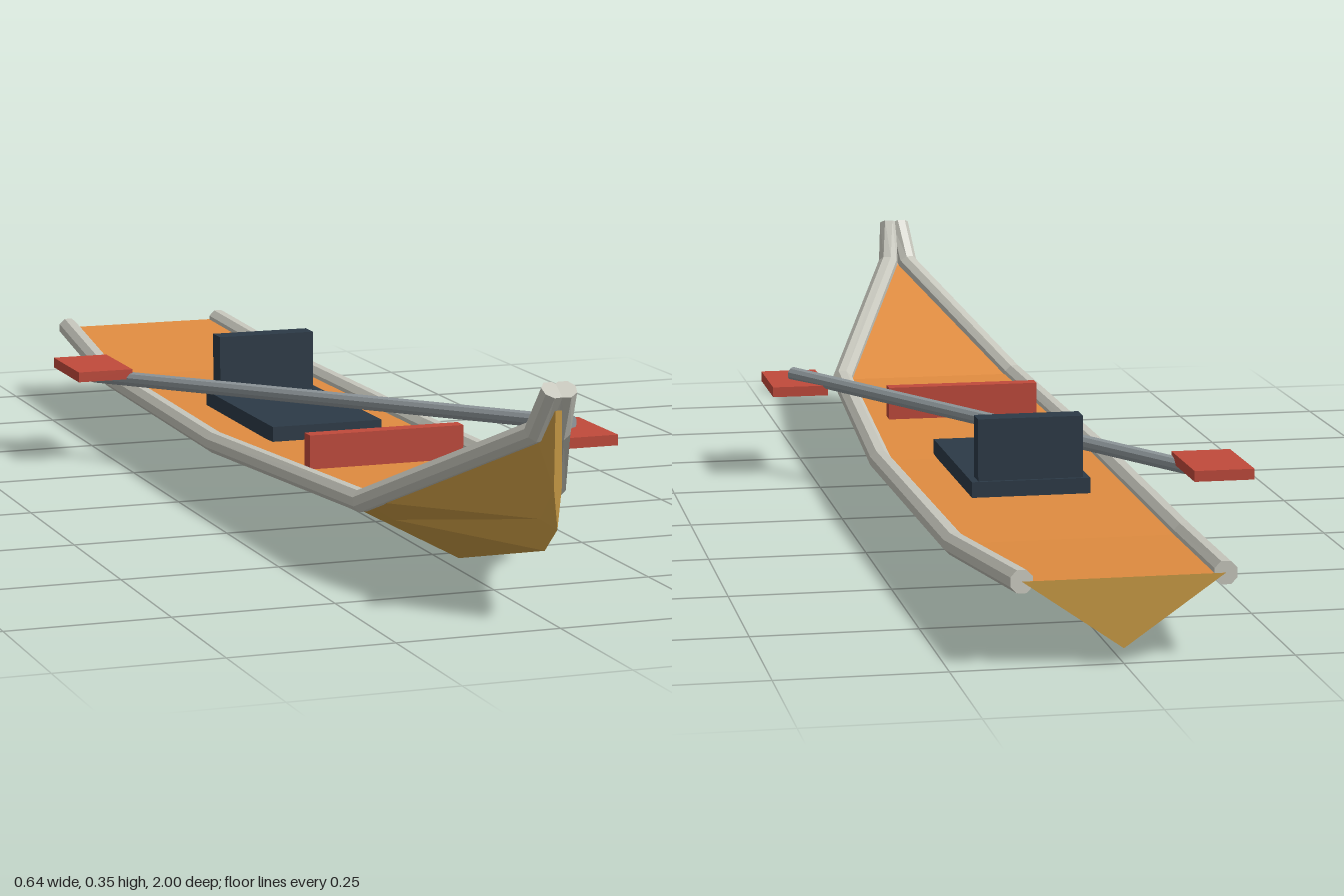
import * as THREE from 'three';

const mat = (name, color) => {
  const m = new THREE.MeshStandardMaterial({ color });
  m.name = name;
  m.flatShading = true;
  return m;
};

// Flat-shaded geometry from a list of triangle corners
function facets(corners) {
  const g = new THREE.BufferGeometry();
  g.setAttribute('position', new THREE.Float32BufferAttribute(corners.flat(), 3));
  g.computeVertexNormals();
  return g;
}

// Straight-segment tube with mitred joints and closed ends
function mitredTube(points, radius, sides) {
  const rings = points.map((p, i) => {
    const dirIn = p.clone().sub(points[Math.max(i - 1, 0)]).normalize();
    const dirOut = points[Math.min(i + 1, points.length - 1)].clone().sub(p).normalize();
    const t = dirIn.add(dirOut).normalize();
    const side = new THREE.Vector3(0, 1, 0).cross(t).normalize();
    const up = t.clone().cross(side);
    return Array.from({ length: sides }, (_, k) => {
      const a = ((k + 0.5) / sides) * Math.PI * 2;
      return p.clone().addScaledVector(side, Math.cos(a) * radius)
        .addScaledVector(up, Math.sin(a) * radius).toArray();
    });
  });
  const out = [];
  const last = rings.length - 1;
  for (let k = 0; k < sides; k++) {
    const n = (k + 1) % sides;
    for (let i = 0; i < last; i++) {
      const a = rings[i][k], b = rings[i][n], c = rings[i + 1][k], d = rings[i + 1][n];
      out.push(a, b, c, b, d, c);
    }
    out.push(points[0].toArray(), rings[0][n], rings[0][k]);
    out.push(points[last].toArray(), rings[last][k], rings[last][n]);
  }
  return facets(out);
}

export function createModel() {
  const group = new THREE.Group();
  const hullMat = mat('hull tan', 0xcb9c45);
  const deckMat = mat('deck orange', 0xe08c40);
  const railMat = mat('rail grey', 0xc6c6bc);
  const shaftMat = mat('shaft grey', 0x8f979b);
  const redMat = mat('red', 0xc04a3b);
  const seatMat = mat('seat navy', 0x2c3a47);

  const add = (name, geometry, material, x = 0, y = 0, z = 0) => {
    const mesh = new THREE.Mesh(geometry, material);
    mesh.name = name;
    mesh.position.set(x, y, z);
    group.add(mesh);
    return mesh;
  };
  const box = (name, material, w, h, d, x, y, z) =>
    add(name, new THREE.BoxGeometry(w, h, d), material, x, y, z);

  // Stations from stern to bow: z, gunwale x and y, chine x and y, keel y
  const stations = [
    [-1, 0.147, 0.125, 0.1, 0.092, 0.022],
    [-0.63, 0.176, 0.097, 0.115, 0.065, 0],
    [0, 0.186, 0.095, 0.12, 0.064, 0.002],
    [0.61, 0.156, 0.118, 0.105, 0.085, 0.018],
    [0.94, 0.016, 0.27, 0.008, 0.147, 0.1],
    [0.985, 0.005, 0.312, 0.006, 0.2, 0.14],
  ];
  const rings = stations.map(([z, gx, gy, cx, cy, ky]) =>
    [[gx, gy, z], [cx, cy, z], [0, ky, z], [-cx, cy, z], [-gx, gy, z]]);

  // Hull skin, stern and stem faces, and deck
  const hull = [], deck = [];
  for (let i = 0; i < rings.length - 1; i++) {
    const r = rings[i], s = rings[i + 1];
    for (let j = 0; j < 4; j++) {
      const a = r[j], b = r[j + 1], c = s[j], d = s[j + 1];
      if (j < 2) hull.push(a, c, d, a, d, b);
      else hull.push(a, c, b, b, c, d);
    }
    deck.push(r[0], r[4], s[0], r[4], s[4], s[0]);
  }
  const stern = rings[0], stem = rings[rings.length - 1];
  for (let j = 1; j < 4; j++) {
    hull.push(stern[0], stern[j], stern[j + 1]);
    hull.push(stem[0], stem[j + 1], stem[j]);
  }
  add('hull', facets(hull), hullMat);
  add('deck', facets(deck), deckMat);

  // Gunwale rails, meeting at the raised bow
  for (const [name, sx] of [['leftRail', 1], ['rightRail', -1]]) {
    const path = stations.slice(0, 5).map(([z, x, y]) => new THREE.Vector3(sx * x, y, z));
    path[4].set(sx * 0.018, 0.275, 0.943);
    path.push(new THREE.Vector3(sx * 0.009, 0.342, 0.985));
    add(name, mitredTube(path, 0.018, 8), railMat);
  }

  // Seat and foot brace
  box('seatBase', seatMat, 0.19, 0.028, 0.35, -0.004, 0.107, -0.14);
  box('seatBack', seatMat, 0.168, 0.11, 0.038, -0.004, 0.165, -0.29);
  box('footBrace', redMat, 0.258, 0.068, 0.026, -0.005, 0.127, 0.302);

  // Paddle laid diagonally across the boat
  const from = new THREE.Vector3(-0.272, 0.142, -0.408);
  const to = new THREE.Vector3(0.274, 0.17, 0.402);
  const axis = to.clone().sub(from);
  const shaft = add('paddleShaft',
    new THREE.CylinderGeometry(0.0125, 0.0125, axis.length(), 10), shaftMat);
  shaft.position.copy(from).add(to).multiplyScalar(0.5);
  shaft.quaternion.setFromUnitVectors(new THREE.Vector3(0, 1, 0), axis.normalize());
  box('rightBlade', redMat, 0.095, 0.017, 0.155, -0.273, 0.154, -0.411);
  box('leftBlade', redMat, 0.095, 0.017, 0.155, 0.272, 0.154, 0.4);

  return group;
}
